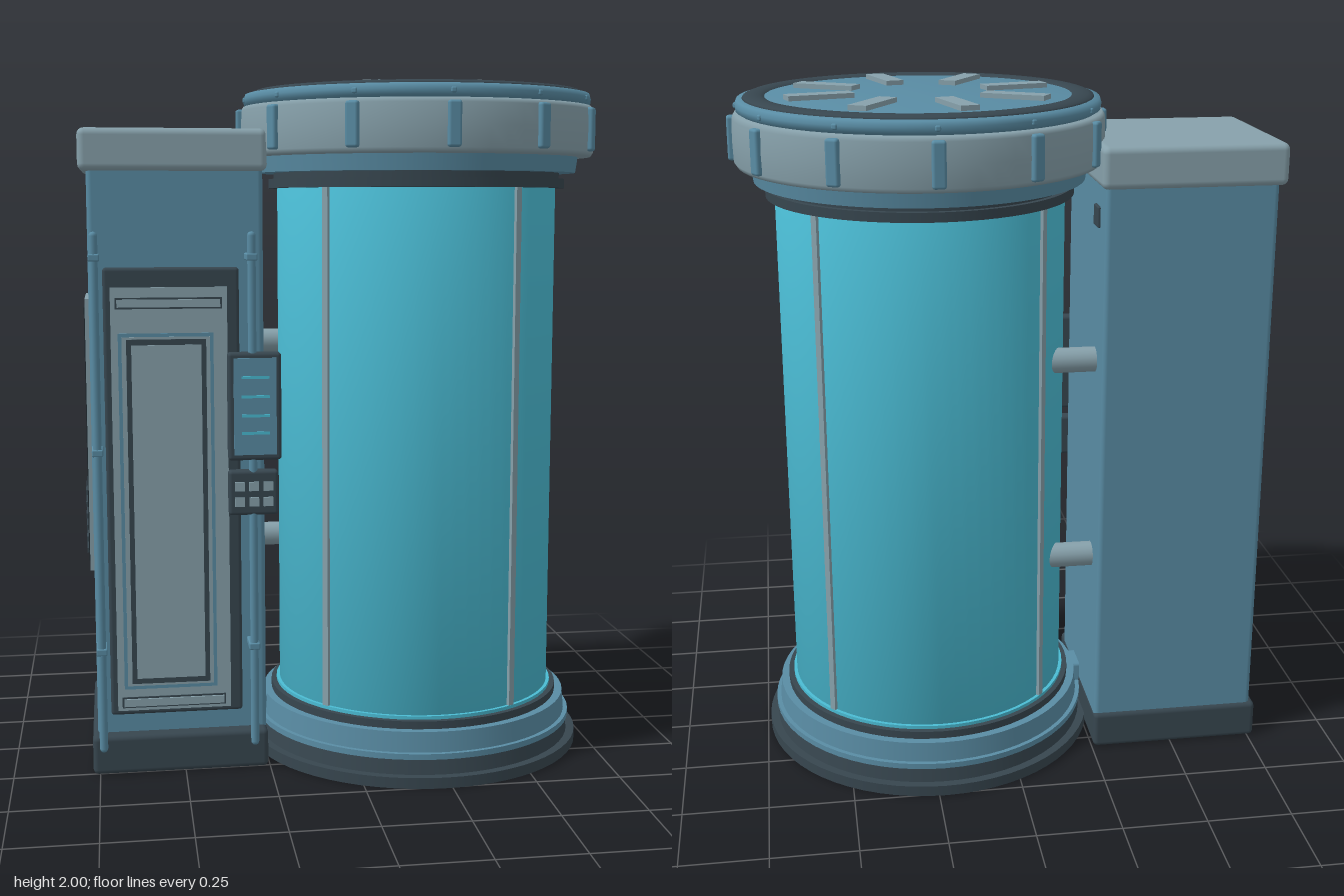
import * as THREE from 'three';
import { RoundedBoxGeometry } from 'three/addons/geometries/RoundedBoxGeometry.js';

const material = (name, color, side = THREE.FrontSide) => {
  const m = new THREE.MeshStandardMaterial({ color, side });
  m.name = name;
  return m;
};

export function createModel() {
  const glass = material('cyan glass', 0x4abbd3);
  const blue = material('steel blue', 0x598ca4);
  const grey = material('pale grey', 0x87a1ab);
  const dark = material('dark slate', 0x37464f);
  const black = material('vent black', 0x232d34);

  const root = new THREE.Group();
  root.name = 'tankAndCabinet';
  const tank = new THREE.Group();
  tank.name = 'tank';
  tank.position.x = 0.23;
  const cabinet = new THREE.Group();
  cabinet.name = 'cabinet';
  root.add(tank, cabinet);

  const add = (parent, name, geometry, mat, x = 0, y = 0, z = 0) => {
    const mesh = new THREE.Mesh(geometry, mat);
    mesh.name = name;
    mesh.position.set(x, y, z);
    parent.add(mesh);
    return mesh;
  };
  // Box given by its extents on each axis, optionally with rounded edges
  const box = (parent, name, mat, [x0, x1], [y0, y1], [z0, z1], r = 0) => {
    const w = x1 - x0, h = y1 - y0, d = z1 - z0;
    const g = r ? new RoundedBoxGeometry(w, h, d, 2, r) : new THREE.BoxGeometry(w, h, d);
    return add(parent, name, g, mat, (x0 + x1) / 2, (y0 + y1) / 2, (z0 + z1) / 2);
  };
  const disc = (name, mat, r, y0, y1, rTop = r) =>
    add(tank, name, new THREE.CylinderGeometry(rTop, r, y1 - y0, 64), mat, 0, (y0 + y1) / 2, 0);
  const lathe = (name, mat, pts) =>
    add(tank, name, new THREE.LatheGeometry(pts.map(p => new THREE.Vector2(...p)), 64), mat);
  // Box placed around the tank axis, long side pointing outwards along x
  const radial = (name, mat, angle, r, y, size, round = 0) => {
    const g = round ? new RoundedBoxGeometry(...size, 2, round) : new THREE.BoxGeometry(...size);
    const a = THREE.MathUtils.degToRad(angle);
    const m = add(tank, name, g, mat, r * Math.cos(a), y, r * Math.sin(a));
    m.rotation.y = -a;
  };

  // Stepped foot
  disc('footPlate', dark, 0.51, 0, 0.032);
  disc('footStep', dark, 0.485, 0.032, 0.078, 0.478);
  disc('footTrim', blue, 0.488, 0.078, 0.095);
  disc('footRing', blue, 0.475, 0.095, 0.155, 0.47);
  disc('lowerSeal', dark, 0.446, 0.155, 0.178);
  disc('lowerRim', glass, 0.43, 0.178, 0.188);

  // Glass body, shaded softly into its ends
  lathe('glassBody', glass, [[0, 0.18], [0.42, 0.18], [0.42, 1.71], [0, 1.71]]);
  for (const a of [58, 138, 222, 318])
    radial('glassStrip', grey, a, 0.422, 0.945, [0.014, 1.53, 0.02]);

  // Lid collar
  disc('upperSeal', dark, 0.446, 1.705, 1.732);
  disc('upperNeck', dark, 0.43, 1.732, 1.75);
  disc('collarBase', blue, 0.478, 1.75, 1.8, 0.485);
  lathe('collarBand', grey, [[0.47, 1.795], [0.522, 1.797], [0.53, 1.81], [0.532, 1.87], [0.53, 1.93], [0.522, 1.943], [0.47, 1.945]]);
  for (let a = 0; a < 360; a += 30) {
    radial('collarRib', blue, a, 0.53, 1.872, [0.03, 0.125, 0.038], 0.008);
    radial('lidBolt', blue, a, 0.516, 1.962, [0.016, 0.016, 0.016], 0.005);
  }
  lathe('lidRim', blue, [[0.4, 1.94], [0.505, 1.942], [0.518, 1.95], [0.52, 1.965], [0.515, 1.98], [0.49, 1.984], [0.4, 1.984]]);
  const seal = add(tank, 'lidSeal', new THREE.TorusGeometry(0.466, 0.034, 12, 64), dark, 0, 1.981, 0);
  seal.rotation.x = Math.PI / 2;
  seal.scale.z = 0.35;
  lathe('lidTop', blue, [[0.436, 1.93], [0.436, 1.986], [0, 1.987]]);
  for (let k = 0; k < 8; k++)
    radial('lidPlate', grey, 30 + 45 * k, 0.295, 1.991, [0.19, 0.018, 0.054]);

  // Cabinet body, cap and plinth
  box(cabinet, 'cabinetBody', blue, [-0.755, -0.257], [0.08, 1.78], [-0.3, 0.22], 0.015);
  box(cabinet, 'cabinetCap', grey, [-0.778, -0.245], [1.75, 1.87], [-0.312, 0.237], 0.02);
  box(cabinet, 'cabinetPlinth', dark, [-0.77, -0.255], [0, 0.115], [-0.31, 0.262], 0.015);

  // Door with raised frame, inset panel and bars
  box(cabinet, 'doorFrame', dark, [-0.715, -0.33], [0.175, 1.48], [0.21, 0.25], 0.01);
  box(cabinet, 'doorPanel', grey, [-0.695, -0.365], [0.19, 1.425], [0.24, 0.256]);
  box(cabinet, 'doorMoulding', blue, [-0.675, -0.405], [0.255, 1.295], [0.25, 0.259]);
  box(cabinet, 'doorMouldingFace', grey, [-0.665, -0.415], [0.265, 1.285], [0.25, 0.261]);
  box(cabinet, 'doorGroove', dark, [-0.652, -0.426], [0.272, 1.278], [0.25, 0.263]);
  box(cabinet, 'doorInset', grey, [-0.638, -0.44], [0.288, 1.262], [0.25, 0.266]);
  for (const y of [0.215, 1.38]) {
    box(cabinet, 'doorBarShadow', dark, [-0.682, -0.38], [y - 0.016, y + 0.016], [0.25, 0.259]);
    box(cabinet, 'doorBar', grey, [-0.677, -0.385], [y - 0.011, y + 0.011], [0.25, 0.265]);
  }

  // Pipes with clips on the front corners
  for (const x of [-0.738, -0.297]) {
    add(cabinet, 'pipe', new THREE.CapsuleGeometry(0.012, 1.48, 4, 12), blue, x, 0.83, 0.285);
    for (const y of [0.38, 0.96, 1.51])
      box(cabinet, 'pipeClip', blue, [x - 0.016, x + 0.016], [y - 0.01, y + 0.01], [0.21, 0.3], 0.004);
  }

  // Control box and keypad on the right-hand pipe
  box(cabinet, 'controlBox', dark, [-0.368, -0.215], [0.93, 1.24], [0.255, 0.3], 0.01);
  box(cabinet, 'controlFace', blue, [-0.352, -0.23], [0.947, 1.225], [0.295, 0.305]);
  for (const y of [1.01, 1.06, 1.115, 1.17])
    box(cabinet, 'controlLine', glass, [-0.33, -0.25], [y - 0.004, y + 0.004], [0.3, 0.308]);
  box(cabinet, 'keypad', dark, [-0.368, -0.225], [0.77, 0.9], [0.255, 0.298], 0.01);
  for (let i = 0; i < 3; i++) for (let j = 0; j < 2; j++) {
    const x = -0.337 + i * 0.041, y = 0.81 + j * 0.045;
    box(cabinet, 'key', grey, [x - 0.014, x + 0.014], [y - 0.013, y + 0.013], [0.29, 0.306]);
  }

  // Louvred vent on the outer side
  box(cabinet, 'ventFrame', grey, [-0.768, -0.75], [0.58, 1.385], [-0.21, 0.115]);
  box(cabinet, 'ventPanel', black, [-0.771, -0.75], [0.605, 1.36], [-0.188, 0.093]);
  for (let i = 0; i < 6; i++)
    box(cabinet, 'ventSlat', dark, [-0.777, -0.76], [0.625 + i * 0.035, 0.64 + i * 0.035], [-0.17, 0.075]);

  // Couplings and small fittings between cabinet and tank
  for (const y of [0.61, 1.232]) {
    const c = add(cabinet, 'coupling', new THREE.CylinderGeometry(0.037, 0.037, 0.19, 16), grey, -0.185, y, -0.19);
    c.rotation.z = Math.PI / 2;
  }
  box(cabinet, 'sideSocket', dark, [-0.265, -0.249], [1.63, 1.69], [-0.23, -0.17], 0.004);
  box(cabinet, 'baseCoupling', blue, [-0.27, -0.2], [0.09, 0.155], [-0.05, 0.05], 0.01);

  return root;
}
